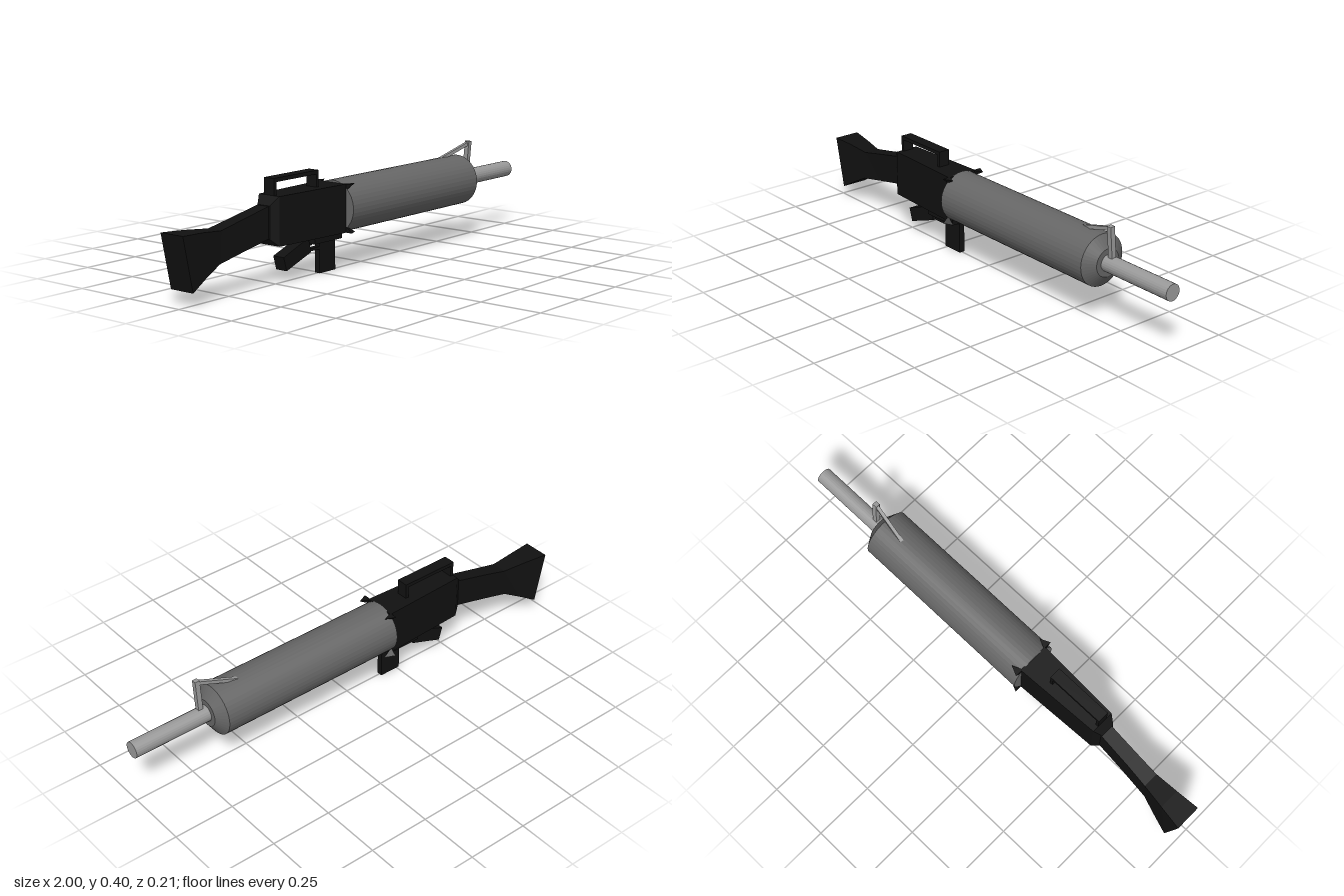
import * as THREE from 'three';
import { ConvexGeometry } from 'three/addons/geometries/ConvexGeometry.js';

const material = (color) => new THREE.MeshStandardMaterial({ color, flatShading: true });
const AXIS_Y = 0.244;

// Loft of four-sided sections running along +x: [topX, topY, bottomX, bottomY, backZ, frontZ]
function loft(sections) {
  const rings = sections.map(([xt, yt, xb, yb, z0, z1]) =>
    [[xt, yt, z0], [xt, yt, z1], [xb, yb, z1], [xb, yb, z0]]);
  const pos = [];
  const quad = (a, b, c, d) => pos.push(...a, ...b, ...c, ...a, ...c, ...d);
  for (let i = 0; i < rings.length - 1; i++) {
    for (let j = 0; j < 4; j++) {
      const k = (j + 1) % 4;
      quad(rings[i][j], rings[i][k], rings[i + 1][k], rings[i + 1][j]);
    }
  }
  quad(...[...rings[0]].reverse());
  quad(...rings[rings.length - 1]);
  const geometry = new THREE.BufferGeometry();
  geometry.setAttribute('position', new THREE.Float32BufferAttribute(pos, 3));
  geometry.computeVertexNormals();
  return geometry;
}

export function createModel() {
  const model = new THREE.Group();
  const dark = material(0x111111);
  const steel = material(0x666666);
  const bright = material(0x999999);

  const add = (name, geometry, mat) => {
    const mesh = new THREE.Mesh(geometry, mat);
    mesh.name = name;
    model.add(mesh);
    return mesh;
  };
  // Box given by its limits on each axis
  const box = (name, x0, x1, y0, y1, z0, z1, mat = dark) =>
    add(name, new THREE.BoxGeometry(x1 - x0, y1 - y0, z1 - z0), mat)
      .position.set((x0 + x1) / 2, (y0 + y1) / 2, (z0 + z1) / 2);
  // Solid of revolution about the barrel axis, from [radius, x] points
  const turned = (name, points, sides, mat) => {
    const mesh = add(name, new THREE.LatheGeometry(points.map(([r, x]) => new THREE.Vector2(r, x)), sides), mat);
    mesh.rotation.z = -Math.PI / 2;
    mesh.position.y = AXIS_Y;
  };
  // Square bar between two points
  const bar = (name, from, to, width, mat) => {
    const a = new THREE.Vector3(...from), b = new THREE.Vector3(...to);
    const mesh = add(name, new THREE.BoxGeometry(width, width, a.distanceTo(b)), mat);
    mesh.position.copy(a).add(b).multiplyScalar(0.5);
    mesh.lookAt(b);
  };

  // Barrel jacket with chamfered nose, and the thinner muzzle
  turned('barrelJacket', [[0, -0.17], [0.103, -0.17], [0.103, 0.64], [0.055, 0.672], [0, 0.672]], 40, steel);
  turned('muzzle', [[0, 0.66], [0.033, 0.66], [0.033, 1], [0, 1]], 24, bright);

  // Front sight: a leaning post with a strut running back to the jacket
  bar('sightPost', [0.698, 0.265, 0.003], [0.698, 0.4, 0.015], 0.02, bright);
  bar('sightStrut', [0.535, 0.34, -0.01], [0.7, 0.392, 0.014], 0.014, bright);

  // Stock, bending towards the back
  add('stock', loft([
    [-1, 0.262, -0.955, 0.052, -0.083, 0.026],
    [-0.9, 0.258, -0.88, 0.094, -0.066, 0.02],
    [-0.8, 0.25, -0.81, 0.13, -0.048, 0.017],
    [-0.7, 0.272, -0.7, 0.153, -0.04, 0.019],
    [-0.54, 0.307, -0.54, 0.186, -0.032, 0.024],
  ]), dark);

  // Receiver, widening towards the barrel
  add('receiver', loft([
    [-0.56, 0.305, -0.56, 0.18, -0.03, 0.03],
    [-0.53, 0.338, -0.53, 0.152, -0.05, 0.05],
    [-0.165, 0.338, -0.165, 0.15, -0.066, 0.066],
  ]), dark);

  // Flared points at the four front corners of the receiver
  for (const sy of [-1, 1]) {
    for (const sz of [-1, 1]) {
      const corner = [[-0.17, 0.094, 0.095], [-0.17, 0.094, 0.058], [-0.17, 0.07, 0.068], [-0.128, 0.094, 0.076]];
      add('cornerFlare', new ConvexGeometry(corner.map(([x, y, z]) =>
        new THREE.Vector3(x, AXIS_Y + sy * y, sz * z))), dark);
    }
  }

  // Carrying handle
  box('handleGrip', -0.53, -0.28, 0.387, 0.402, -0.024, 0.024);
  for (const x of [-0.53, -0.293]) box('handlePost', x, x + 0.013, 0.33, 0.39, -0.024, 0.024);

  // Lower housing and magazine
  box('lowerHousing', -0.33, -0.17, 0.127, 0.155, -0.047, 0.047);
  box('magazine', -0.262, -0.17, 0, 0.14, -0.012, 0.012);

  // Swept-back grip
  add('grip', loft([
    [-0.482, 0.1, -0.466, 0.046, -0.026, 0.026],
    [-0.34, 0.152, -0.325, 0.095, -0.024, 0.024],
  ]), dark);

  // Trigger and its guard
  box('triggerGuard', -0.335, -0.255, 0.094, 0.104, -0.012, 0.012);
  box('trigger', -0.311, -0.3, 0.115, 0.15, -0.007, 0.007);

  return model;
}
